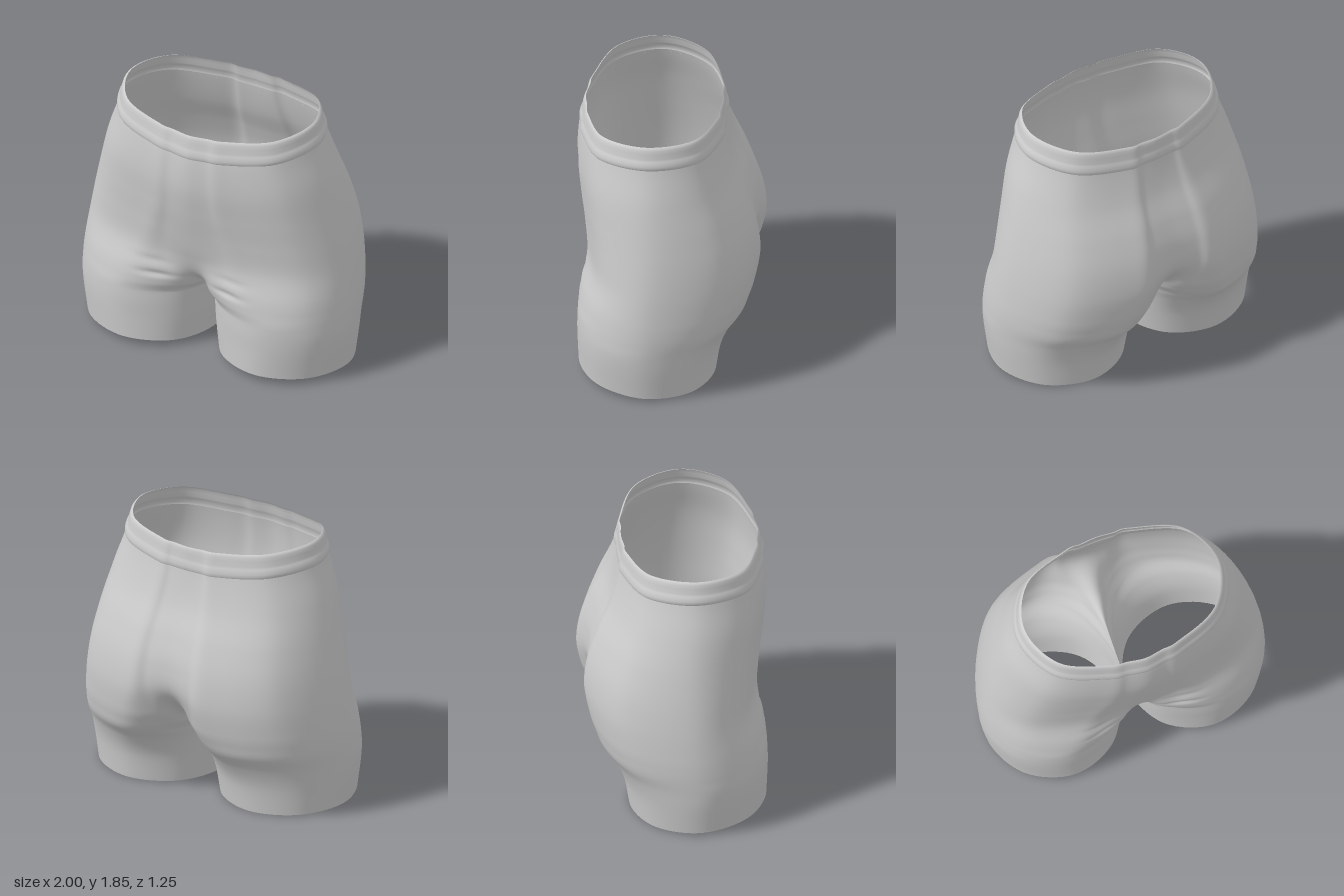
import * as THREE from 'three';
import { mergeVertices } from 'three/addons/utils/BufferGeometryUtils.js';

// Half cross-sections from hem to waist:
// y, side x, side z, front lobe x, z, back lobe x, z, inner x, inner front z, inner back z
const LEVELS = [
  [0.00, 0.965, 0.10, 0.50, 0.570, 0.50, -0.350, 0.040, 0.10, 0.10],
  [0.20, 0.990, 0.10, 0.52, 0.575, 0.48, -0.385, 0.015, 0.10, 0.10],
  [0.34, 1.000, 0.10, 0.52, 0.578, 0.44, -0.450, 0.008, 0.10, 0.10],
  [0.44, 1.000, 0.08, 0.52, 0.575, 0.40, -0.530, 0.000, 0.10, 0.10],
  [0.52, 0.997, 0.07, 0.50, 0.570, 0.38, -0.565, 0.000, 0.30, -0.14],
  [0.62, 0.988, 0.06, 0.48, 0.555, 0.36, -0.595, 0.000, 0.44, -0.38],
  [0.80, 0.965, 0.05, 0.42, 0.515, 0.33, -0.620, 0.000, 0.505, -0.56],
  [1.00, 0.930, 0.05, 0.36, 0.530, 0.32, -0.595, 0.000, 0.55, -0.575],
  [1.20, 0.885, 0.06, 0.30, 0.560, 0.30, -0.530, 0.000, 0.59, -0.52],
  [1.40, 0.825, 0.08, 0.28, 0.578, 0.27, -0.440, 0.000, 0.615, -0.435],
  [1.60, 0.750, 0.09, 0.26, 0.568, 0.24, -0.380, 0.000, 0.605, -0.385],
  [1.80, 0.695, 0.10, 0.25, 0.530, 0.23, -0.340, 0.000, 0.565, -0.36],
];
const CROTCH_Y = 0.44, CROTCH_Z = 0.1, STEPS = 8;
const { smoothstep, lerp, clamp } = THREE.MathUtils;

function spline(a, b, c, d, t) {
  return b + 0.5 * t * (c - a + t * (2 * a - 5 * b + 4 * c - d + t * (3 * (b - c) + d - a)));
}

// Section parameters at a fractional level index
function levelAt(s) {
  const last = LEVELS.length - 1;
  const i = Math.min(Math.floor(s), last - 1);
  const at = (k) => LEVELS[clamp(k, 0, last)];
  return LEVELS[0].map((_, j) => spline(at(i - 1)[j], at(i)[j], at(i + 1)[j], at(i + 2)[j], s - i));
}

// Level index for a height (between the top two levels, where spacing is even)
const indexFor = (y) => 10 + (y - 1.6) / 0.2;

// Points of the +x half section, from inner front round the side to inner back
function section(s, scale = 1) {
  let [y, X, zs, xF, zF, xB, zB, xi, zf, zb] = levelAt(s);
  xi = Math.max(xi, 0);
  zf = Math.max(zf, CROTCH_Z);
  zb = Math.min(zb, CROTCH_Z);
  if (s <= 3) zf = zb = CROTCH_Z;
  else xi = 0;
  const torso = smoothstep(y, CROTCH_Y, 0.9);
  const kx = lerp(0.29, 0.5, torso), kz = lerp(0.71, 0.5, torso), d = 0.7;
  const p = [
    [xi, zf],
    [lerp(xi, xF, kx), lerp(zf, zF, kz)],
    [xF, zF],
    [lerp(xF, X, d), lerp(zs, zF, d)],
    [X, zs],
    [lerp(xB, X, d), lerp(zs, zB, d)],
    [xB, zB],
    [lerp(xi, xB, kx), lerp(zb, zB, kz)],
    [xi, zb],
  ];
  // Legs close on themselves; above the crotch the section continues into its mirror image
  const w = smoothstep(y, CROTCH_Y, 0.6);
  const before = [lerp(p[7][0], -p[1][0], w), lerp(p[7][1], p[1][1], w)];
  const after = [lerp(p[1][0], -p[7][0], w), lerp(p[1][1], p[7][1], w)];
  const q = [before, ...p, after];
  const out = [];
  for (let i = 0; i < 8; i++) {
    for (let k = 0; k < STEPS + (i === 7 ? 1 : 0); k++) {
      const [x, z] = [0, 1].map((j) => spline(q[i][j], q[i + 1][j], q[i + 2][j], q[i + 3][j], k / STEPS));
      out.push(shape(Math.max(x, 0) * scale, y, CROTCH_Z + (z - CROTCH_Z) * scale));
    }
  }
  return out;
}

// Curved waist and hem lines, and soft folds at the top of the thighs
function shape(x, y, z) {
  const waist = 0.055 * (x / 0.73) ** 2 * smoothstep(y, 1.1, 1.65);
  const hem = 0.05 * clamp((z + 0.35) / 0.92, 0, 1) * (1 - smoothstep(y, 0, 0.4));
  if (z > 0.3) {
    for (const [fx, fy, depth] of [[0.27, 0.6, 0.016], [0.3, 0.7, 0.009]]) {
      z -= depth * Math.exp(-(((x - fx) / 0.11) ** 2) - ((y - fy) / 0.022) ** 2);
    }
  }
  return [x, y + waist + hem, z];
}

// Skin a stack of half sections, mirrored to both sides
function skin(rows, name) {
  const pos = [], index = [];
  const n = rows[0].length;
  for (const side of [1, -1]) {
    const base = pos.length / 3;
    for (const row of rows) for (const [x, y, z] of row) pos.push(side * x, y, z);
    for (let r = 0; r < rows.length - 1; r++) {
      for (let c = 0; c < n - 1; c++) {
        const a = base + r * n + c, b = a + 1, e = a + n, f = e + 1;
        if (side > 0) index.push(a, b, f, a, f, e);
        else index.push(a, f, b, a, e, f);
      }
    }
  }
  let geo = new THREE.BufferGeometry();
  geo.setAttribute('position', new THREE.Float32BufferAttribute(pos, 3));
  geo.setIndex(index);
  geo = mergeVertices(geo, 1e-4);
  geo.computeVertexNormals();
  const mesh = new THREE.Mesh(geo, new THREE.MeshStandardMaterial({ color: 0xcccccc, side: THREE.DoubleSide }));
  mesh.name = name;
  return mesh;
}

export function createModel() {
  const group = new THREE.Group();
  group.name = 'shorts';

  // Legs, seat and hips in one skin
  const top = indexFor(1.65), rows = [];
  for (let s = 0; s < top; s += 0.1) rows.push(section(s));
  rows.push(section(top));
  group.add(skin(rows, 'shortsBody'));

  // Waistband with a raised lower lip
  const profile = [
    [1.635, 1.0], [1.645, 1.014], [1.66, 1.02], [1.68, 1.02], [1.692, 1.012],
    [1.705, 1.008], [1.74, 1.012], [1.77, 1.012], [1.79, 1.004], [1.8, 0.99],
  ];
  group.add(skin(profile.map(([y, scale]) => section(indexFor(y), scale)), 'waistband'));

  return group;
}
